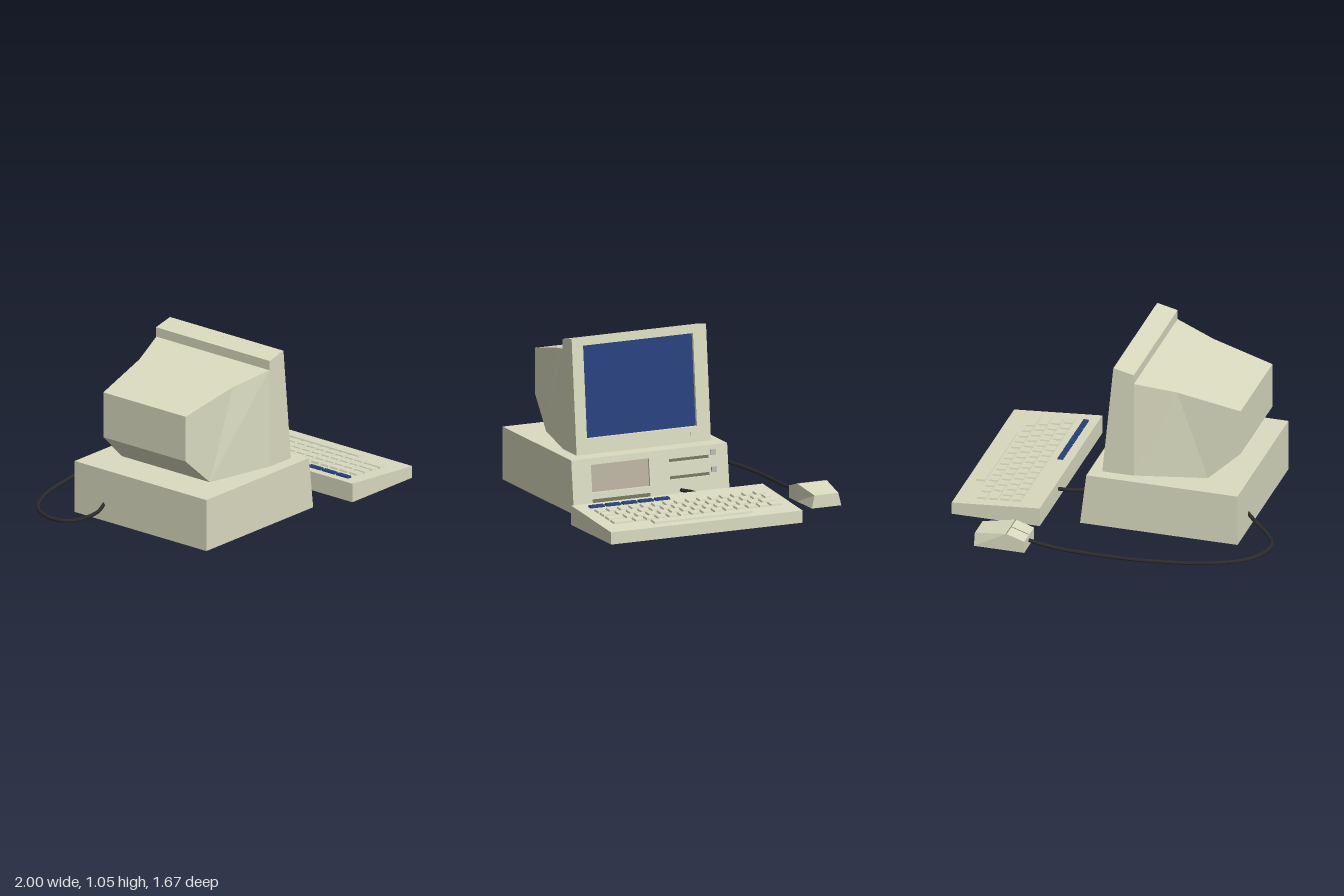
import * as THREE from 'three';

const mat = (color) => new THREE.MeshStandardMaterial({ color, flatShading: true });
const BEIGE = mat(0xdadbc0), NAVY = mat(0x28417c), DARK = mat(0x77765f);
const PANEL = mat(0xb9b09f), GREY = mat(0xb4b4b4), BLACK = mat(0x2b2b2e);

function mesh(name, geometry, material = BEIGE) {
  const m = new THREE.Mesh(geometry, material);
  m.name = name;
  return m;
}

// Side profile in x,y swept from z0 to z1
function sweep(points, z0, z1) {
  const shape = new THREE.Shape(points.map(([x, y]) => new THREE.Vector2(x, y)));
  return new THREE.ExtrudeGeometry(shape, { depth: z1 - z0, bevelEnabled: false }).translate(0, 0, z0);
}

// Rectangle [z0, z1, y0, y1] as a path in the plane u = -z, v = y
function rect([z0, z1, y0, y1], Type = THREE.Path) {
  const p = new Type();
  p.moveTo(-z1, y0).lineTo(-z0, y0).lineTo(-z0, y1).lineTo(-z1, y1).closePath();
  return p;
}

// Plate facing +x that follows a sloping front, with holes; drop tilts its top edge
function plate(outline, holes, depth, frontX, offset = 0, drop = 0) {
  const shape = rect(outline, THREE.Shape);
  shape.holes = holes.map((h) => rect(h));
  const g = new THREE.ExtrudeGeometry(shape, { depth, bevelEnabled: false });
  g.translate(0, 0, -depth).rotateY(Math.PI / 2);
  const p = g.attributes.position;
  for (let i = 0; i < p.count; i++) {
    const x = p.getX(i), y = p.getY(i);
    p.setX(i, x + frontX(y) + offset);
    if (y > outline[3] - 0.001) p.setY(i, y + x * drop);
  }
  g.computeVertexNormals();
  return g;
}

// Skin through four-cornered rings running towards +x.
// Ring: [xBottom, yBottom, halfBottom, xTop, yTop, halfTop]
function loft(rings, zc) {
  const pos = [], idx = [];
  for (const [xb, yb, hb, xt, yt, ht] of rings) {
    pos.push(xb, yb, zc + hb, xb, yb, zc - hb, xt, yt, zc - ht, xt, yt, zc + ht);
  }
  for (let r = 0; r < rings.length - 1; r++) {
    for (let k = 0; k < 4; k++) {
      const a = r * 4 + k, b = r * 4 + (k + 1) % 4;
      idx.push(a, b, a + 4, b, b + 4, a + 4);
    }
  }
  const e = (rings.length - 1) * 4;
  idx.push(0, 2, 1, 0, 3, 2, e, e + 1, e + 2, e, e + 2, e + 3);
  const g = new THREE.BufferGeometry();
  g.setAttribute('position', new THREE.Float32BufferAttribute(pos, 3));
  g.setIndex(idx);
  const flat = g.toNonIndexed();
  flat.computeVertexNormals();
  return flat;
}

function cable(name, points) {
  const curve = new THREE.CatmullRomCurve3(points.map((p) => new THREE.Vector3(...p)));
  const m = mesh(name, new THREE.TubeGeometry(curve, points.length * 5, 0.012, 8), BLACK);
  return m;
}

function buildCase() {
  const g = new THREE.Group();
  g.name = 'systemCase';
  const front = (y) => 0.22 - 0.12 * y;
  const bay = [0.19, 0.58, 0.12, 0.29], vent = [0.19, 0.58, 0.05, 0.08];
  const slots = [0.26, 0.155].map((y) => [-0.21, 0.055, y - 0.011, y + 0.011]);
  g.add(mesh('caseBody', sweep([[-0.78, 0], [0.2, 0], [0.16, 0.33], [-0.78, 0.33]], -0.34, 0.71)));
  g.add(mesh('caseFront', plate([-0.34, 0.71, 0, 0.33], [bay, vent, ...slots], 0.021, front)));
  g.add(mesh('bayPanel', plate(bay, [], 0.006, front, -0.014), PANEL));
  g.add(mesh('ventFloor', plate(vent, [], 0.006, front, -0.014), DARK));
  for (const s of slots) {
    g.add(mesh('driveSlot', plate(s, [], 0.006, front, -0.014), DARK));
    const y = (s[2] + s[3]) / 2 + 0.025;
    g.add(mesh('driveButton', plate([-0.258, -0.224, y - 0.016, y + 0.016], [], 0.02, front, 0.01), GREY));
  }
  return g;
}

function buildMonitor() {
  const g = new THREE.Group();
  g.name = 'monitor';
  const front = (y) => 0.1 - 0.098 * (y - 0.335);
  const screen = [-0.18, 0.56, 0.43, 1.0];
  g.add(mesh('bezel', plate([-0.27, 0.635, 0.335, 1.05], [screen], 0.03, front, 0, 0.23)));
  g.add(mesh('screen', plate(screen, [], 0.006, front, -0.02), NAVY));
  g.add(mesh('bezelBack',
    sweep([[-0.1, 0.335], [0.07, 0.335], [0.0, 1.043], [-0.1, 1.02]], -0.27, 0.635)));
  g.add(mesh('powerKnob', plate([-0.17, -0.135, 0.38, 0.4], [], 0.015, front, 0.006)));
  // Tapered tube housing
  g.add(mesh('housing', loft([
    [-0.74, 0.52, 0.328, -0.74, 0.81, 0.328],
    [-0.54, 0.335, 0.35, -0.35, 0.902, 0.373],
    [-0.1, 0.335, 0.45, -0.1, 0.96, 0.45],
  ], 0.1825)));
  return g;
}

const deckY = (x) => 0.12 - 0.0786 * (x - 0.44);

// Tapered key cap seated on the sloping deck
function key(name, x0, x1, z0, z1, material) {
  const h = 0.024, geo = new THREE.BoxGeometry(x1 - x0, h, z1 - z0);
  const p = geo.attributes.position;
  for (let i = 0; i < p.count; i++) {
    if (p.getY(i) < 0) continue;
    p.setX(i, p.getX(i) - Math.sign(p.getX(i)) * 0.006);
    p.setZ(i, p.getZ(i) - Math.sign(p.getZ(i)) * 0.006);
  }
  geo.computeVertexNormals();
  const m = mesh(name, geo, material);
  const x = (x0 + x1) / 2;
  m.position.set(x, deckY(x), (z0 + z1) / 2);
  m.rotation.z = -0.078;
  return m;
}

function buildKeyboard() {
  const g = new THREE.Group();
  g.name = 'keyboard';
  g.add(mesh('keyboardBase', sweep([[0.44, 0], [1, 0], [1, deckY(1)], [0.44, 0.12]], -0.455, 0.835)));
  // Four staggered rows; the end keys absorb the stagger
  const pitch = 0.076, zStart = 0.755, zEnd = -0.39;
  [0.076, 0.1, 0.12, 0.145].forEach((first, r) => {
    const x0 = 0.578 + r * 0.0735;
    let z = zStart, w = first;
    while (z > zEnd + 0.01) {
      let next = z - w;
      if (next - zEnd < 0.04) next = zEnd;
      g.add(key('key', x0, x0 + 0.066, next + 0.004, z - 0.004, BEIGE));
      z = next;
      w = pitch;
    }
  });
  g.add(key('spaceBar', 0.875, 0.945, -0.15, 0.515, BEIGE));
  for (let i = 0; i < 5; i++) {
    const z = 0.205 + i * 0.11;
    g.add(key('functionKey', 0.495, 0.537, z + 0.003, z + 0.107, NAVY));
  }
  return g;
}

function buildMouse() {
  const g = new THREE.Group();
  g.name = 'mouse';
  g.add(mesh('mouseBody', loft([
    [0.42, 0.01, 0.1, 0.42, 0.085, 0.1],
    [0.535, 0.01, 0.1, 0.535, 0.122, 0.1],
    [0.74, 0.01, 0.1, 0.74, 0.09, 0.08],
  ], -0.74)));
  // Seams around the two buttons
  const split = mesh('buttonSplit', new THREE.BoxGeometry(0.115, 0.004, 0.004), DARK);
  split.position.set(0.4785, 0.1035, -0.74);
  split.rotation.z = Math.atan2(0.037, 0.115);
  const seam = mesh('buttonSeam', new THREE.BoxGeometry(0.004, 0.004, 0.198), DARK);
  seam.position.set(0.535, 0.121, -0.74);
  g.add(split, seam);
  return g;
}

export function createModel() {
  const model = new THREE.Group();
  model.name = 'desktopComputer';
  model.add(buildCase(), buildMonitor(), buildKeyboard(), buildMouse());
  model.add(cable('keyboardCable',
    [[0.19, 0.075, -0.01], [0.225, 0.075, -0.025], [0.28, 0.075, -0.055], [0.36, 0.07, -0.07], [0.46, 0.065, -0.07]]));
  model.add(cable('mouseCable', [
    [0.43, 0.05, -0.74], [0.35, 0.035, -0.74], [0.22, 0.018, -0.74], [-0.16, 0.014, -0.74],
    [-0.44, 0.014, -0.71], [-0.7, 0.014, -0.645], [-0.89, 0.014, -0.54], [-0.97, 0.014, -0.42],
    [-0.985, 0.016, -0.3], [-0.935, 0.022, -0.205], [-0.82, 0.065, -0.12], [-0.77, 0.11, -0.11],
  ]));
  return model;
}
